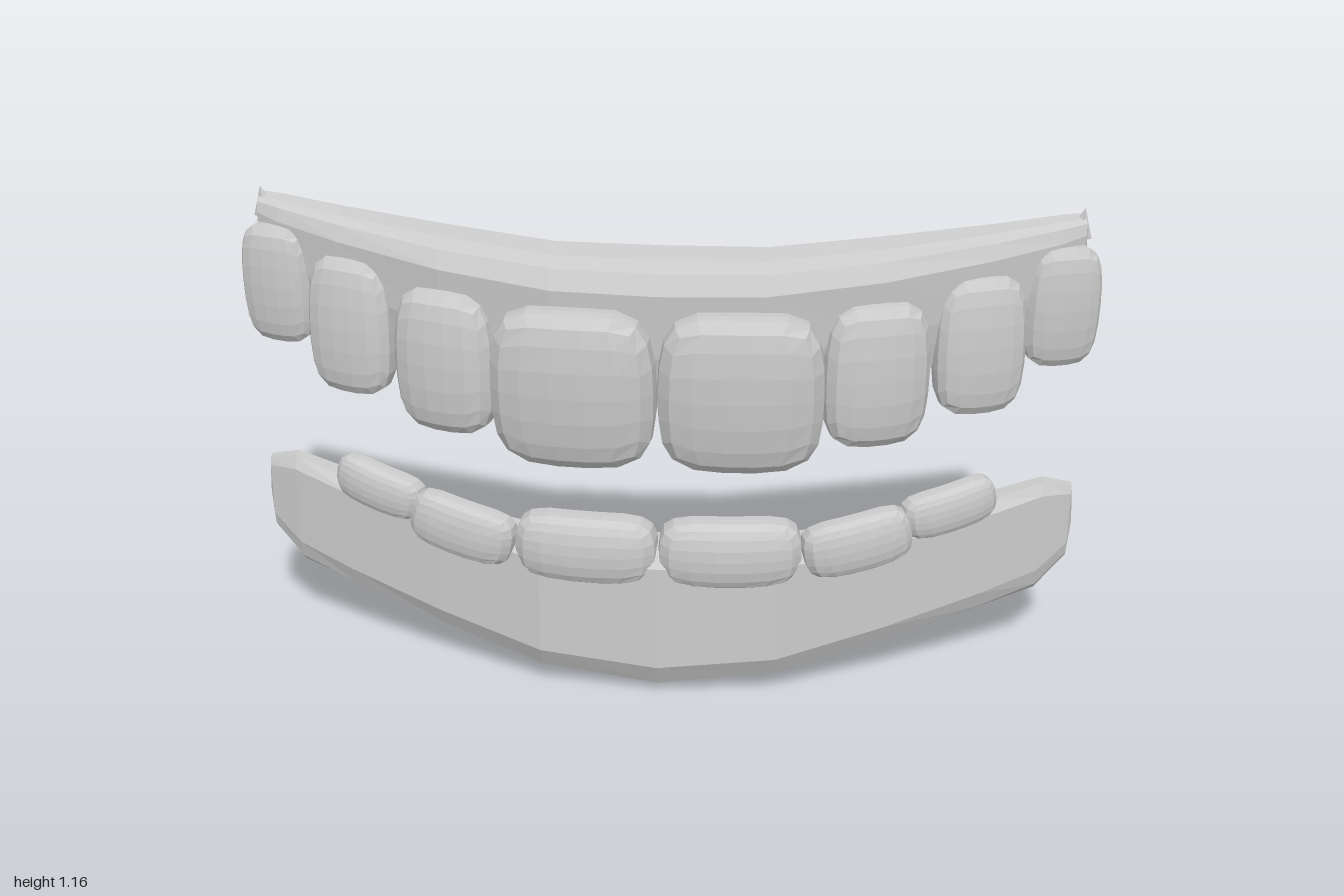
import * as THREE from 'three';

const material = new THREE.MeshStandardMaterial({ color: 0xcccccc, flatShading: true });

// Closed loft along x. Each station: [x, zFront, zBack, yBottom, yTop];
// the profile runs front, bottom, back, top as [depth 0..1, height 0..1].
function loft(stations, profile) {
  const pos = [], index = [], n = profile.length;
  const full = [
    ...stations.slice(1).reverse().map(([x, ...rest]) => [-x, ...rest]),
    ...stations,
  ];
  for (const [x, zf, zb, y0, y1] of full) {
    for (const [u, v] of profile) pos.push(x, y0 + v * (y1 - y0), zb + u * (zf - zb));
  }
  for (let i = 0; i < full.length - 1; i++) {
    for (let j = 0; j < n; j++) {
      const a = i * n + j, b = i * n + (j + 1) % n;
      index.push(a, b, b + n, a, b + n, a + n);
    }
  }
  // end caps, slightly bulged
  [0, full.length - 1].forEach((row) => {
    const [x, zf, zb, y0, y1] = full[row];
    const c = pos.length / 3;
    pos.push(x + Math.sign(x) * 0.008, (y0 + y1) / 2, (zf + zb) / 2);
    for (let j = 0; j < n; j++) {
      const a = row * n + j, b = row * n + (j + 1) % n;
      if (row === 0) index.push(c, b, a);
      else index.push(c, a, b);
    }
  });
  const g = new THREE.BufferGeometry();
  g.setAttribute('position', new THREE.Float32BufferAttribute(pos, 3));
  g.setIndex(index);
  g.computeVertexNormals();
  return g;
}

// Rounded tooth: a segmented box pulled onto a superellipsoid, then tapered.
function toothGeometry(w, h, d, taper, lean) {
  const g = new THREE.BoxGeometry(2, 2, 2, 5, 6, 4);
  const p = g.attributes.position, k = 4.5;
  for (let i = 0; i < p.count; i++) {
    let x = p.getX(i), y = p.getY(i), z = p.getZ(i);
    const r = (Math.abs(x) ** k + Math.abs(y) ** k + Math.abs(z) ** k) ** (1 / k);
    x /= r; y /= r; z /= r;
    const narrow = 1 - taper * Math.max(0, y) ** 2 - 0.05 * Math.max(0, -y) ** 2;
    // crown face curves back toward the sides
    p.setXYZ(i, x * narrow * w / 2, y * h / 2, z * d / 2 * (1 - 0.25 * y * y) - 0.18 * d * x * x + lean * y);
  }
  g.computeVertexNormals();
  return g;
}

function addTeeth(group, name, list) {
  list.forEach(({ at, size, yaw, roll = 0, taper, lean = 0 }, i) => {
    for (const side of [1, -1]) {
      const mesh = new THREE.Mesh(toothGeometry(...size, taper, lean), material);
      mesh.name = `${name}${i + 1}${side > 0 ? 'Left' : 'Right'}`;
      mesh.position.set(at[0] * side, at[1], at[2]);
      mesh.rotation.set(0, yaw * side, roll * side);
      group.add(mesh);
    }
  });
}

export function createModel() {
  const model = new THREE.Group();
  const upper = new THREE.Group();
  upper.name = 'upperJaw';
  const lower = new THREE.Group();
  lower.name = 'lowerJaw';
  model.add(upper, lower);

  // Upper gum: a curved band, deepest in the middle
  const upperGum = new THREE.Mesh(loft([
    [0, 0.145, -0.015, 0.74, 1.11],
    [0.24, 0.132, -0.022, 0.75, 1.11],
    [0.5, 0.065, -0.085, 0.79, 1.12],
    [0.75, -0.035, -0.14, 0.84, 1.135],
    [0.9, -0.105, -0.18, 0.89, 1.145],
    [0.955, -0.14, -0.195, 0.94, 1.145],
  ], [[1, 0.82], [0.92, 0.4], [0.72, 0.04], [0.3, 0], [0.06, 0.06],
    [0, 0.5], [0, 0.95], [0.1, 1], [0.55, 0.98], [0.85, 0.94]]), material);
  upperGum.name = 'upperGum';
  upper.add(upperGum);

  // Small pointed tips at the ends of the upper gum
  for (const side of [1, -1]) {
    const tip = new THREE.Mesh(new THREE.ConeGeometry(0.03, 0.07, 4), material);
    tip.name = side > 0 ? 'gumTipLeft' : 'gumTipRight';
    tip.position.set(side * 0.945, 1.13, -0.167);
    tip.rotation.z = -side * 0.15;
    upper.add(tip);
  }

  // Lower gum: a taller band with a keel-like bottom
  const lowerGum = new THREE.Mesh(loft([
    [0, 0.15, 0, 0.005, 0.4],
    [0.28, 0.132, -0.012, 0.038, 0.4],
    [0.53, 0.055, -0.07, 0.1, 0.425],
    [0.76, -0.03, -0.125, 0.16, 0.465],
    [0.9, -0.09, -0.155, 0.2, 0.495],
    [0.972, -0.13, -0.165, 0.28, 0.475],
  ], [[1, 0.9], [1, 0.22], [0.8, 0.07], [0.45, 0], [0.15, 0.03],
    [0, 0.22], [0, 0.9], [0.25, 1], [0.75, 1]]), material);
  lowerGum.name = 'lowerGum';
  lower.add(lowerGum);

  // Upper teeth, from the middle outward
  addTeeth(upper, 'upperTooth', [
    { at: [0.19, 0.817, 0.148], size: [0.375, 0.39, 0.13], yaw: 0.06, taper: 0.1, lean: 0.015 },
    { at: [0.493, 0.838, 0.062], size: [0.245, 0.345, 0.105], yaw: 0.3, taper: 0.12 },
    { at: [0.727, 0.88, -0.028], size: [0.215, 0.33, 0.085], yaw: 0.33, taper: 0.15, lean: -0.005 },
    { at: [0.913, 0.945, -0.112], size: [0.178, 0.29, 0.075], yaw: 0.28, taper: 0.12, lean: 0.004 },
  ]);

  // Lower teeth, set along the rim of the gum
  addTeeth(lower, 'lowerTooth', [
    { at: [0.17, 0.395, 0.115], size: [0.335, 0.17, 0.11], yaw: 0.08, taper: 0.1 },
    { at: [0.465, 0.42, 0.09], size: [0.26, 0.14, 0.08], yaw: 0.25, roll: 0.2, taper: 0.08 },
    { at: [0.68, 0.468, -0.012], size: [0.235, 0.115, 0.075], yaw: 0.4, roll: 0.18, taper: 0.08 },
  ]);
  return model;
}
